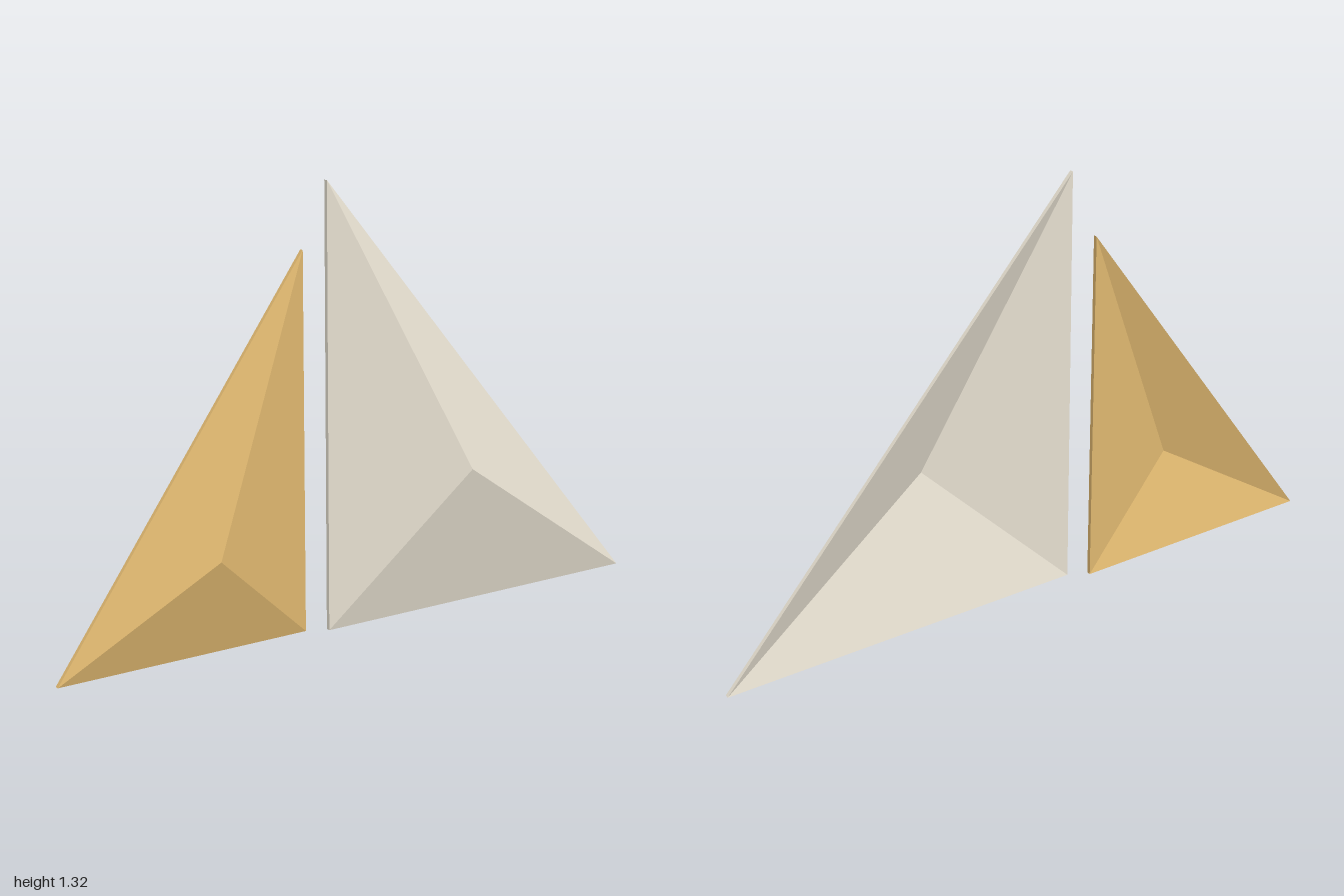
import * as THREE from 'three';

// Folded triangular sheet: three facets rising to a peak, hollow behind, with a thin rim.
// corners run counter-clockwise seen from the front; rim and peak are on the front skin.
function foldedSail(name, corners, rimZ, peak, thickness, color) {
  const positions = [];
  const back = ([x, y, z]) => [x, y, z - thickness];
  const tri = (...points) => points.forEach((p) => positions.push(...p));
  const rim = corners.map(([x, y]) => [x, y, rimZ]);

  rim.forEach((a, i) => {
    const b = rim[(i + 1) % 3];
    tri(a, b, peak); // front facet
    tri(back(b), back(a), back(peak)); // hollow back facet
    tri(a, back(a), back(b)); // rim edge
    tri(a, back(b), b);
  });

  const geometry = new THREE.BufferGeometry();
  geometry.setAttribute('position', new THREE.Float32BufferAttribute(positions, 3));
  geometry.computeVertexNormals();
  const material = new THREE.MeshStandardMaterial({ color, flatShading: true });
  const mesh = new THREE.Mesh(geometry, material);
  mesh.name = name;
  return mesh;
}

export function createModel() {
  const group = new THREE.Group();
  group.name = 'sails';

  // Tall pale sail on the model's left
  group.add(foldedSail('paleSail',
    [[-0.14, 0], [1, 0], [-0.14, 1.32]], -0.034, [0.3, 0.447, 0.081], 0.013, 0xe6dfd0));

  // Smaller golden sail on the model's right, set slightly back
  group.add(foldedSail('goldenSail',
    [[-1, 0], [-0.2, 0], [-0.2, 1.125]], -0.068, [-0.535, 0.292, 0.02], 0.013, 0xe0b870));

  return group;
}
